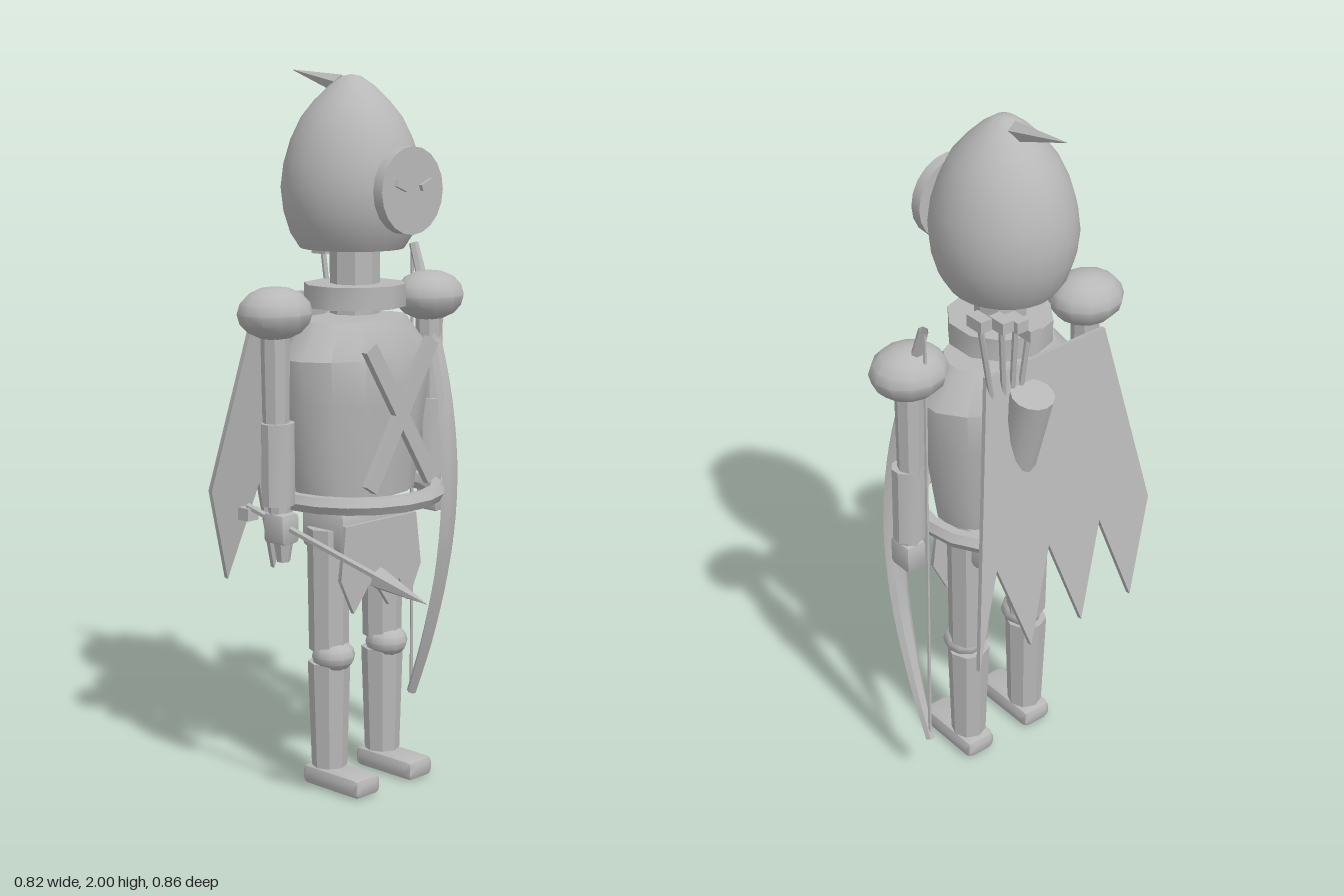
import * as THREE from 'three';
import { toCreasedNormals } from 'three/addons/utils/BufferGeometryUtils.js';
import { RoundedBoxGeometry } from 'three/addons/geometries/RoundedBoxGeometry.js';

const V = (x, y, z) => new THREE.Vector3(x, y, z);
const DEPTH = -0.125; // z of the body's axis

export function createModel() {
  const root = new THREE.Group();
  root.name = 'archer';
  const grey = new THREE.MeshStandardMaterial({ color: 0xb8b8b8, side: THREE.DoubleSide });
  grey.name = 'plain grey';

  const add = (name, geo, x = 0, y = 0, z = 0, parent = root) => {
    const mesh = new THREE.Mesh(toCreasedNormals(geo, 0.66), grey);
    mesh.name = name;
    mesh.position.set(x, y, z);
    parent.add(mesh);
    return mesh;
  };
  // cylinder or cone running from a to b
  const rod = (name, a, b, ra, rb, sides = 8) => {
    const dir = b.clone().sub(a);
    const mesh = add(name, new THREE.CylinderGeometry(rb, ra, dir.length(), sides));
    mesh.position.copy(a).addScaledVector(dir, 0.5);
    mesh.quaternion.setFromUnitVectors(V(0, 1, 0), dir.normalize());
    return mesh;
  };
  const lathe = (name, pts, sides, depthScale) =>
    add(name, new THREE.LatheGeometry(pts.map(p => new THREE.Vector2(...p)), sides)
      .scale(1, 1, depthScale), 0, 0, DEPTH);
  const plate = (name, pts, depth, x, y, z) =>
    add(name, new THREE.ExtrudeGeometry(new THREE.Shape(pts.map(p => new THREE.Vector2(...p))),
      { depth, bevelEnabled: false }), x, y, z);

  // hood, plume and mask
  const hood = lathe('hood', [[0, 1.52], [0.14, 1.52], [0.165, 1.56], [0.183, 1.62], [0.19, 1.685],
    [0.182, 1.75], [0.163, 1.815], [0.135, 1.875], [0.1, 1.92], [0.06, 1.96], [0.025, 1.985], [0, 1.99]], 24, 1.06);
  hood.position.z = -0.135;
  rod('plume', V(0, 1.962, -0.18), V(0, 2, -0.365), 0.027, 0.001, 5);
  add('mask', new THREE.CylinderGeometry(0.118, 0.118, 0.033, 20).rotateX(Math.PI / 2), 0, 1.685, 0.078);
  for (const s of [-1, 1]) {
    add('eye', new THREE.BoxGeometry(0.046, 0.018, 0.012), s * 0.048, 1.7, 0.099).rotation.z = s * 0.38;
  }

  // neck, collar and torso
  rod('neck', V(0, 1.34, DEPTH), V(0, 1.54, DEPTH), 0.069, 0.069);
  rod('collar', V(0, 1.36, DEPTH), V(0, 1.423, DEPTH), 0.142, 0.142, 10);
  lathe('torso', [[0, 0.84], [0.195, 0.84], [0.205, 0.9], [0.237, 1.1], [0.25, 1.23], [0.17, 1.328], [0, 1.328]], 14, 0.67);
  add('belt', new THREE.TorusGeometry(0.228, 0.026, 6, 18).rotateX(Math.PI / 2), 0, 0.84, DEPTH);
  for (const s of [-1, 1]) {
    add('chestStrap', new THREE.BoxGeometry(0.045, 0.46, 0.02), 0, 1.075, 0.05).rotation.z = s * 0.56;
  }
  add('hips', new RoundedBoxGeometry(0.27, 0.12, 0.17, 1, 0.02), 0, 0.745, DEPTH);

  // ragged cloth at the front
  plate('frontCloth', [[-0.14, 0.77], [-0.16, 0.62], [-0.11, 0.52], [-0.035, 0.61], [0.03, 0.52],
    [0.07, 0.59], [0.11, 0.52], [0.16, 0.62], [0.14, 0.77]], 0.012, 0, 0, -0.034);

  // arms and legs, mirrored
  for (const s of [-1, 1]) {
    const ax = s * 0.302, lx = s * 0.107;
    add('shoulderPad', new THREE.SphereGeometry(1, 12, 8).scale(0.108, 0.072, 0.097), ax, 1.365, DEPTH);
    rod('upperArm', V(ax, 1.05, DEPTH), V(ax, 1.33, DEPTH), 0.036, 0.04);
    add('forearm', new THREE.CylinderGeometry(0.05, 0.05, 0.225, 10).scale(1, 1, 0.85), ax, 0.957, -0.118);
    rod('wrist', V(ax, 0.8, -0.115), V(ax, 0.86, -0.115), 0.03, 0.03);
    add('hand', new RoundedBoxGeometry(0.065, 0.085, 0.08, 1, 0.012), ax, 0.783, -0.108);
    rod('thigh', V(lx, 0.4, DEPTH), V(lx, 0.75, DEPTH), 0.056, 0.06);
    add('knee', new THREE.SphereGeometry(1, 10, 8).scale(0.06, 0.046, 0.063), lx, 0.385, -0.107);
    rod('shin', V(lx, 0.06, DEPTH), V(lx, 0.365, DEPTH), 0.05, 0.06);
    add('foot', new RoundedBoxGeometry(0.1, 0.06, 0.225, 1, 0.02), lx, 0.03, -0.078);
  }

  // arrow held in the right hand
  const heldX = -0.302, along = z => V(heldX, 0.767 - 0.23 * z, z);
  rod('heldArrowShaft', along(-0.24), along(0.28), 0.01, 0.01, 6);
  rod('heldArrowHead', along(0.26), along(0.43), 0.031, 0.001, 6);
  add('heldArrowFletching', new THREE.BoxGeometry(0.04, 0.035, 0.04), heldX, 0.802, -0.24);
  rod('fist', V(heldX, 0.69, -0.1), V(heldX, 0.76, -0.1), 0.018, 0.03, 6);

  // bow: a flattened tube, thick in the middle and thin at the tips
  const bowPath = new THREE.CatmullRomCurve3([V(0.3, 0.17, -0.19), V(0.3, 0.35, -0.125), V(0.3, 0.6, -0.062),
    V(0.3, 0.84, -0.04), V(0.3, 1.08, -0.062), V(0.3, 1.33, -0.125), V(0.3, 1.51, -0.185)]);
  const bow = new THREE.TubeGeometry(bowPath, 24, 0.014, 6);
  const p = bow.attributes.position;
  for (let i = 0; i < p.count; i++) {
    const t = Math.floor(i / 7) / 24;
    p.setX(i, 0.3 + (p.getX(i) - 0.3) * (1 + 1.4 * Math.sin(Math.PI * t)));
  }
  add('bow', bow);
  rod('bowString', V(0.3, 0.18, -0.19), V(0.3, 1.5, -0.19), 0.005, 0.005, 5);

  // ragged cape, leaning away from the back towards the hem
  const cape = [[-0.2, 0]];
  for (let i = 0; i < 8; i++) cape.push([-0.315 + 0.09 * i, i % 2 ? -0.825 : -0.55]);
  cape.push([0.2, 0]);
  plate('cape', cape, 0.014, 0, 1.39, -0.312).rotation.x = 0.142;

  // quiver with four arrows fanning out
  rod('quiver', V(0.09, 0.91, -0.26), V(0.09, 1.325, -0.363), 0.047, 0.058, 14);
  for (const [x, y] of [[0.087, 1.5], [0.13, 1.54], [0.177, 1.555], [0.247, 1.585]]) {
    rod('arrowShaft', V(0.06 + x * 0.38, 1.2, -0.3), V(x, y, -0.34), 0.008, 0.008, 6);
    add('arrowFletching', new THREE.BoxGeometry(0.035, 0.032, 0.055), x, y, -0.34);
  }
  return root;
}
